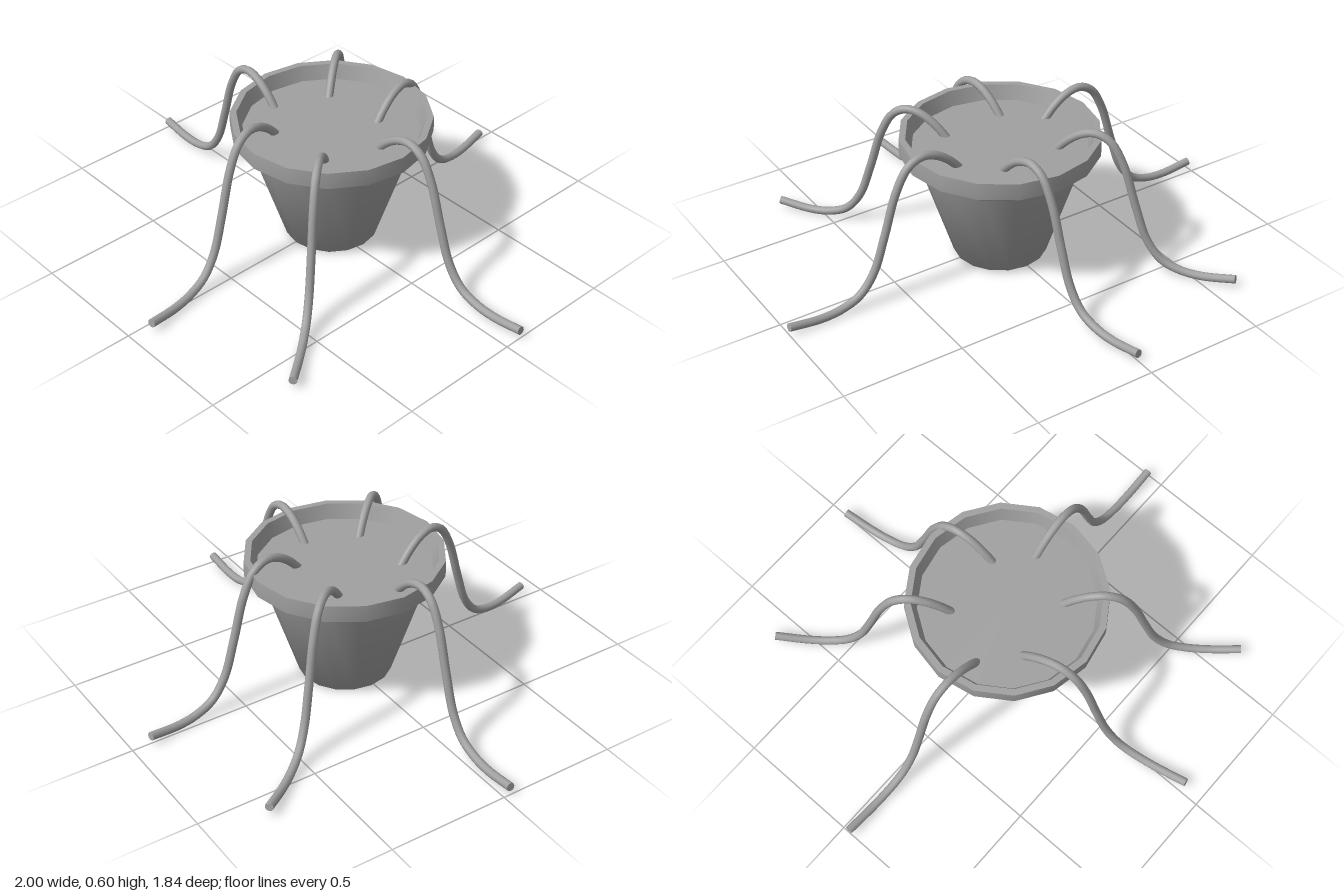
import * as THREE from 'three';

const SIDES = 16;
const TUBE_R = 0.017;

// Leg arch: distance outward from the root, height
const ARCH = [
  [0, 0.465], [0.06, 0.53], [0.12, 0.57], [0.18, 0.582], [0.24, 0.553], [0.295, 0.46],
  [0.35, 0.29], [0.405, 0.14], [0.47, 0.06], [0.55, 0.028], [0.64, 0.021], [0.775, 0.038],
];

// Root x, z and tip x, z of each leg
const LEGS = [
  [0.22, -0.065, 0.998, -0.075],
  [0.11, -0.165, 0.0, -0.92],
  [-0.145, -0.15, -0.6, -0.76],
  [-0.23, 0.05, -0.998, 0.03],
  [-0.11, 0.15, 0.035, 0.915],
  [0.15, 0.135, 0.625, 0.73],
];

function lathe(name, points, material) {
  const profile = points.map(([r, y]) => new THREE.Vector2(r, y));
  const mesh = new THREE.Mesh(new THREE.LatheGeometry(profile, SIDES), material);
  mesh.name = name;
  return mesh;
}

function makeLeg([x0, z0, x1, z1], material) {
  const leg = new THREE.Group();
  leg.name = 'leg';
  const reach = ARCH[ARCH.length - 1][0];
  const curve = new THREE.CatmullRomCurve3(ARCH.map(([s, y]) => new THREE.Vector3(
    THREE.MathUtils.lerp(x0, x1, s / reach), y, THREE.MathUtils.lerp(z0, z1, s / reach))));
  const tube = new THREE.Mesh(new THREE.TubeGeometry(curve, 48, TUBE_R, 10), material);
  tube.name = 'legTube';
  leg.add(tube);
  // Flat end caps
  for (const t of [0, 1]) {
    const cap = new THREE.Mesh(new THREE.CircleGeometry(TUBE_R, 10), material);
    cap.name = 'legCap';
    const outward = curve.getTangent(t).multiplyScalar(t ? 1 : -1);
    cap.position.copy(curve.getPoint(t));
    cap.quaternion.setFromUnitVectors(new THREE.Vector3(0, 0, 1), outward);
    leg.add(cap);
  }
  return leg;
}

export function createModel() {
  const grey = new THREE.MeshStandardMaterial({ color: 0xa0a0a0 });
  grey.name = 'plain grey';
  const model = new THREE.Group();
  model.name = 'leggedFlowerPot';

  // Pot, slightly off centre
  const pot = new THREE.Group();
  pot.name = 'pot';
  pot.position.set(0.015, 0, -0.02);
  pot.add(lathe('potBody', [[0, 0.015], [0.19, 0.015], [0.325, 0.435]], grey));
  pot.add(lathe('collar', [[0.325, 0.435], [0.362, 0.455], [0.368, 0.48]], grey));
  pot.add(lathe('rimUnderside', [[0.365, 0.48], [0.398, 0.48]], grey));
  pot.add(lathe('rimOutside', [[0.398, 0.48], [0.4, 0.515], [0.398, 0.55]], grey));
  pot.add(lathe('rimTop', [[0.398, 0.55], [0.372, 0.55]], grey));
  pot.add(lathe('rimInside', [[0.372, 0.55], [0.35, 0.488]], grey));

  // Soil surface
  const soil = new THREE.Mesh(new THREE.CircleGeometry(0.352, SIDES), grey);
  soil.name = 'soil';
  soil.rotation.x = -Math.PI / 2;
  soil.position.y = 0.49;
  pot.add(soil);
  model.add(pot);

  // Six trailing legs
  for (const leg of LEGS) model.add(makeLeg(leg, grey));
  return model;
}
